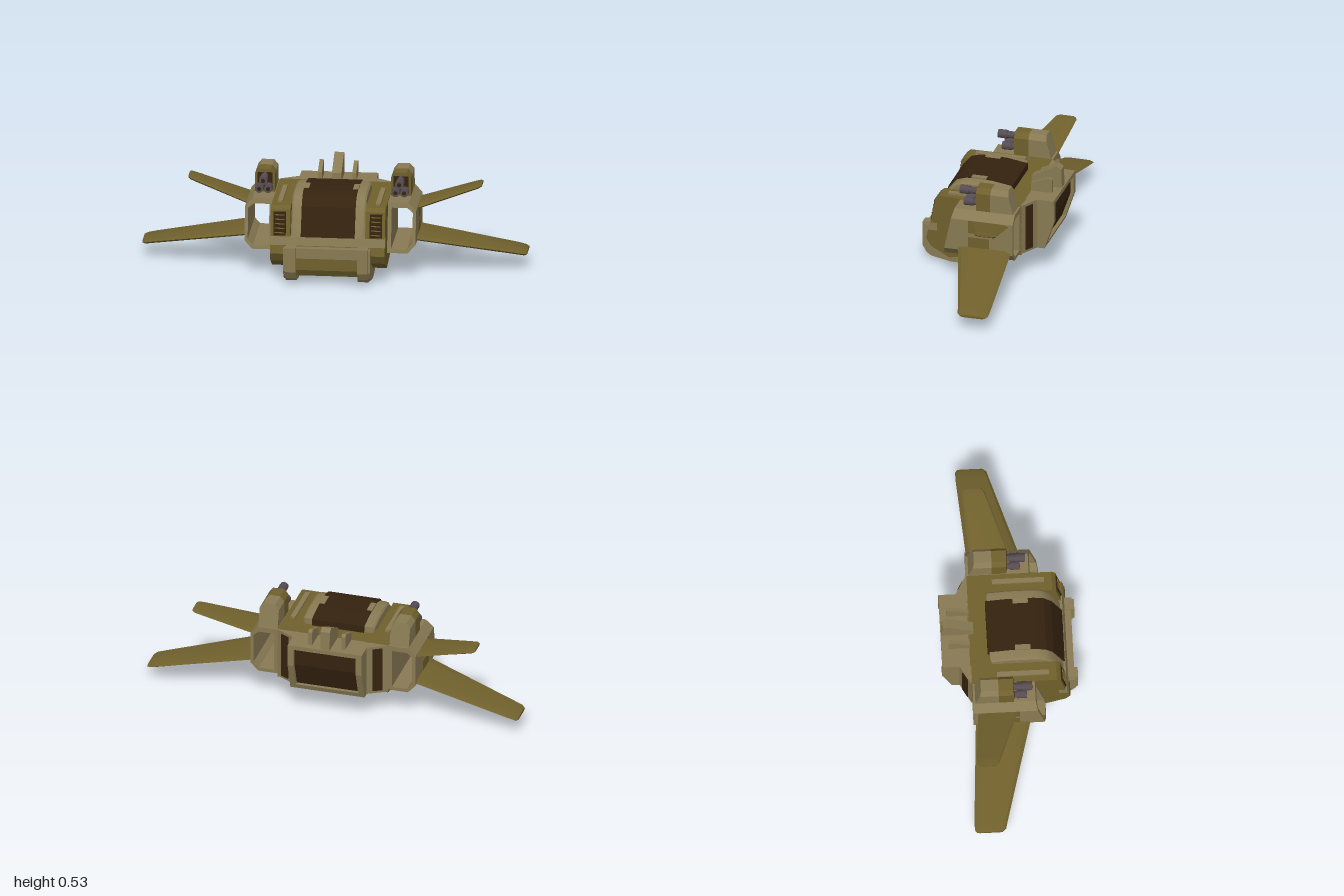
import * as THREE from 'three';
import { toCreasedNormals } from 'three/addons/utils/BufferGeometryUtils.js';

const material = (name, color) => new THREE.MeshStandardMaterial({ name, color });

export function createModel() {
  const olive = material('olive paint', 0x6f602c);
  const tan = material('tan paint', 0x887a53);
  const dark = material('dark brown glass and vents', 0x35220f);
  const metal = material('gun metal', 0x564c52);
  const model = new THREE.Group();

  function add(name, geo, mat) {
    const mesh = new THREE.Mesh(geo, mat);
    mesh.name = name;
    model.add(mesh);
    return mesh;
  }

  // Mirrored copy across x = 0, with the corner order flipped back
  function mirrored(geo) {
    const g = geo.index ? geo.toNonIndexed() : geo.clone();
    for (const key of ['position', 'normal']) {
      const a = g.attributes[key];
      for (let i = 0; i < a.count; i += 3) {
        const p = [0, 2, 1].map(k => [-a.getX(i + k), a.getY(i + k), a.getZ(i + k)]);
        p.forEach((v, k) => a.setXYZ(i + k, ...v));
      }
    }
    return g;
  }
  function both(name, geo, mat) {
    add('left' + name, geo, mat);
    add('right' + name, mirrored(geo), mat);
  }

  const shapeOf = pts => new THREE.Shape(pts.map(p => new THREE.Vector2(...p)));

  // Side profile of [z, y] points, extruded from x0 to x1
  function slab(pts, x0, x1) {
    const g = new THREE.ExtrudeGeometry(shapeOf(pts), { depth: x1 - x0, bevelEnabled: false });
    return g.rotateY(-Math.PI / 2).translate(x1, 0, 0);
  }
  const box = (w, h, d, x, y, z) => new THREE.BoxGeometry(w, h, d).translate(x, y, z);

  // Hull: lower body, shoulders, rear deck and front ledge
  add('lowerHull', slab([[0.285, 0.25], [0.31, 0.165], [0.285, 0.12], [0.185, 0.065],
    [-0.04, 0.1], [-0.205, 0.13], [-0.205, 0.25]], -0.298, 0.298), olive);
  both('Shoulder', slab([[0.285, 0.25], [0.26, 0.39], [0.24, 0.408], [-0.205, 0.408],
    [-0.205, 0.25]], 0.195, 0.298), olive);
  add('rearDeck', box(0.4, 0.158, 0.13, 0, 0.329, -0.14), olive);
  add('frontLedge', slab([[0.291, 0.252], [0.302, 0.21], [0.25, 0.21], [0.25, 0.252]],
    -0.3, 0.3), tan);
  both('TopRail', box(0.025, 0.02, 0.27, 0.255, 0.41, 0.065), tan);

  // Louvred front vents on the sloping shoulder faces
  const tilt = -0.177;
  both('FrontVent', new THREE.BoxGeometry(0.064, 0.125, 0.009).rotateX(tilt)
    .translate(0.25, 0.318, 0.2735), dark);
  for (let i = 0; i < 5; i++) {
    const y = 0.272 + i * 0.023;
    both('VentSlat', new THREE.BoxGeometry(0.05, 0.005, 0.008).rotateX(tilt)
      .translate(0.25, y, 0.278 - (y - 0.318) * 0.179), olive);
  }

  // Canopy: bevelled frame with a dark glass strip and side clips
  const frame = [[0.27, 0.25], [0.215, 0.39], [0.18, 0.43], [0.135, 0.444],
    [0, 0.444], [-0.09, 0.43], [-0.1, 0.25]];
  const frameGeo = new THREE.ExtrudeGeometry(shapeOf(frame), {
    depth: 0.33, bevelSize: 0.012, bevelThickness: 0.028, bevelSegments: 2 });
  add('canopyFrame', toCreasedNormals(
    frameGeo.rotateY(-Math.PI / 2).translate(0.165, 0, 0), 0.6), tan);
  add('canopyGlass', slab([[0.288, 0.252], [0.232, 0.4], [0.192, 0.447], [0.14, 0.463],
    [0, 0.462], [-0.112, 0.445], [-0.112, 0.25]], -0.14, 0.14), dark);
  both('CanopyClip', box(0.028, 0.012, 0.08, 0.128, 0.46, 0.07), tan);

  // Chin bumper: two skids joined by an inset curved plate
  const skid = [[0.353, 0.21], [0.353, 0.08], [0.33, 0.04], [0.305, 0.023], [0.2, 0.002],
    [0.13, 0.002], [-0.038, 0.05], [-0.038, 0.12], [0.25, 0.21]];
  both('Skid', slab(skid, 0.16, 0.215), tan);
  both('SkidOuterFace', slab(skid.map(([z, y]) =>
    [0.16 + (z - 0.16) * 0.94, 0.12 + (y - 0.12) * 0.92]), 0.215, 0.226), tan);
  add('chinPlate', slab([[0.325, 0.15], [0.325, 0.085], [0.305, 0.05], [0.2, 0.018],
    [0.13, 0.018], [-0.02, 0.06], [-0.02, 0.12], [0.25, 0.15]], -0.162, 0.162), olive);
  add('chinCrossbar', slab([[0.335, 0.205], [0.335, 0.15], [0.25, 0.15], [0.25, 0.205]],
    -0.162, 0.162), tan);

  // Tapered aft body with a vent on each slanted face
  const aft = new THREE.ExtrudeGeometry(shapeOf([[0.298, 0.2], [0.298, 0.205], [0.2, 0.26],
    [-0.2, 0.26], [-0.298, 0.205], [-0.298, 0.2]]), { depth: 0.273, bevelEnabled: false });
  add('aftBody', aft.rotateX(-Math.PI / 2).translate(0, 0.135, 0), tan);
  both('AftVent', new THREE.BoxGeometry(0.05, 0.245, 0.009)
    .rotateY(Math.atan2(0.48, -0.876)).translate(0.25, 0.272, -0.2325), dark);

  // Main exhaust: cheeks and lips around a recessed dark core
  both('ExhaustCheek', slab([[-0.2, 0.135], [-0.3, 0.135], [-0.352, 0.29], [-0.35, 0.408],
    [-0.2, 0.408]], 0.168, 0.2), tan);
  add('exhaustTopLip', slab([[-0.2, 0.408], [-0.35, 0.408], [-0.35, 0.385], [-0.2, 0.385]],
    -0.168, 0.168), tan);
  add('exhaustBottomLip', slab([[-0.2, 0.135], [-0.3, 0.135], [-0.309, 0.16], [-0.2, 0.16]],
    -0.168, 0.168), tan);
  add('exhaustCore', slab([[-0.2, 0.15], [-0.285, 0.15], [-0.333, 0.29], [-0.333, 0.395],
    [-0.2, 0.395]], -0.17, 0.17), dark);

  // Dorsal fins
  add('centreFin', slab([[-0.18, 0.4], [-0.18, 0.455], [-0.315, 0.527], [-0.34, 0.51],
    [-0.344, 0.4]], -0.025, 0.025), tan);
  both('SmallFin', slab([[-0.2, 0.4], [-0.2, 0.452], [-0.295, 0.49], [-0.312, 0.48],
    [-0.312, 0.4]], 0.079, 0.1), tan);

  // Open side ducts with raked front edges
  const ductShape = shapeOf([[0.296, 0.145], [0.405, 0.145], [0.445, 0.188], [0.445, 0.36],
    [0.405, 0.404], [0.296, 0.404]]);
  ductShape.holes.push(shapeOf([[0.318, 0.163], [0.4, 0.163], [0.428, 0.195], [0.428, 0.353],
    [0.4, 0.376], [0.318, 0.376]]));
  const duct = new THREE.ExtrudeGeometry(ductShape, { depth: 1, bevelEnabled: false });
  const dp = duct.attributes.position;
  for (let i = 0; i < dp.count; i++) {
    dp.setZ(i, dp.getZ(i) > 0.5 ? 0.178 - (dp.getY(i) - 0.145) * 0.21 : -0.2);
  }
  duct.computeVertexNormals();
  both('Duct', duct, tan);
  both('DuctUpperPatch', box(0.004, 0.07, 0.112, 0.445, 0.324, -0.016), olive);
  both('DuctLowerPatch', box(0.004, 0.056, 0.112, 0.445, 0.238, -0.016), olive);

  // Gun pods: chamfered housing, olive in front and tan behind
  const podShape = shapeOf([[0.302, 0.4], [0.406, 0.4], [0.406, 0.5], [0.385, 0.527],
    [0.323, 0.527], [0.302, 0.5]]);
  function podPart(zBack, zFront, rake) {
    const g = new THREE.ExtrudeGeometry(podShape, { depth: zFront - zBack, bevelEnabled: false });
    g.translate(0, 0, zBack);
    const p = g.attributes.position;
    for (let i = 0; i < p.count; i++) {
      if (p.getZ(i) < zBack + 0.001) p.setZ(i, zBack + (p.getY(i) - 0.4) * rake);
    }
    g.computeVertexNormals();
    return g;
  }
  both('PodFront', podPart(-0.068, 0.01, 0), olive);
  both('PodRear', podPart(-0.19, -0.068, 0.24), tan);
  both('PodFace', box(0.078, 0.095, 0.006, 0.354, 0.462, 0.01), dark);

  // Each pod carries three stepped barrels
  for (const [x, y, z, r] of [[0.354, 0.492, 0.107, 0.023], [0.331, 0.439, 0.078, 0.022],
    [0.377, 0.439, 0.078, 0.022]]) {
    const tube = (rad, z0, z1) => new THREE.CylinderGeometry(rad, rad, z1 - z0, 10)
      .rotateX(Math.PI / 2).translate(x, y, (z0 + z1) / 2);
    both('Barrel', tube(r * 0.8, 0, z - 0.04), metal);
    both('Muzzle', tube(r, z - 0.05, z), metal);
    both('Bore', tube(r * 0.5, z - 0.002, z + 0.001), dark);
  }

  // Wing lofted outwards through stations [x, y, zFront, zBack, halfThickness]
  function wing(stations) {
    const ring = [[0, 0], [0.06, 0.8], [0.25, 1], [0.88, 0.9], [1, 0],
      [0.88, -0.9], [0.25, -1], [0.06, -0.8]];
    const n = ring.length, pos = [], idx = [];
    for (const [x, y, zf, zb, t] of stations) {
      for (const [c, h] of ring) pos.push(x, y + h * t, zf + (zb - zf) * c);
    }
    for (let s = 0; s < stations.length - 1; s++) {
      for (let i = 0; i < n; i++) {
        const a = s * n + i, b = s * n + (i + 1) % n;
        idx.push(a, a + n, b, b, a + n, b + n);
      }
    }
    const tip = (stations.length - 1) * n;
    for (let i = 1; i < n - 1; i++) idx.push(tip, tip + i + 1, tip + i);
    const g = new THREE.BufferGeometry();
    g.setAttribute('position', new THREE.Float32BufferAttribute(pos, 3));
    g.setIndex(idx);
    return toCreasedNormals(g, 0.6);
  }
  both('LowerWing', wing([[0.43, 0.2, 0.098, -0.188, 0.014], [0.94, 0.094, -0.048, -0.222, 0.013],
    [0.985, 0.084, -0.06, -0.222, 0.012], [1, 0.081, -0.078, -0.212, 0.007]]), olive);
  both('UpperWing', wing([[0.43, 0.344, 0.034, -0.175, 0.011], [0.71, 0.422, -0.068, -0.197, 0.011],
    [0.75, 0.433, -0.083, -0.199, 0.01], [0.763, 0.437, -0.098, -0.19, 0.006]]), olive);

  return model;
}
